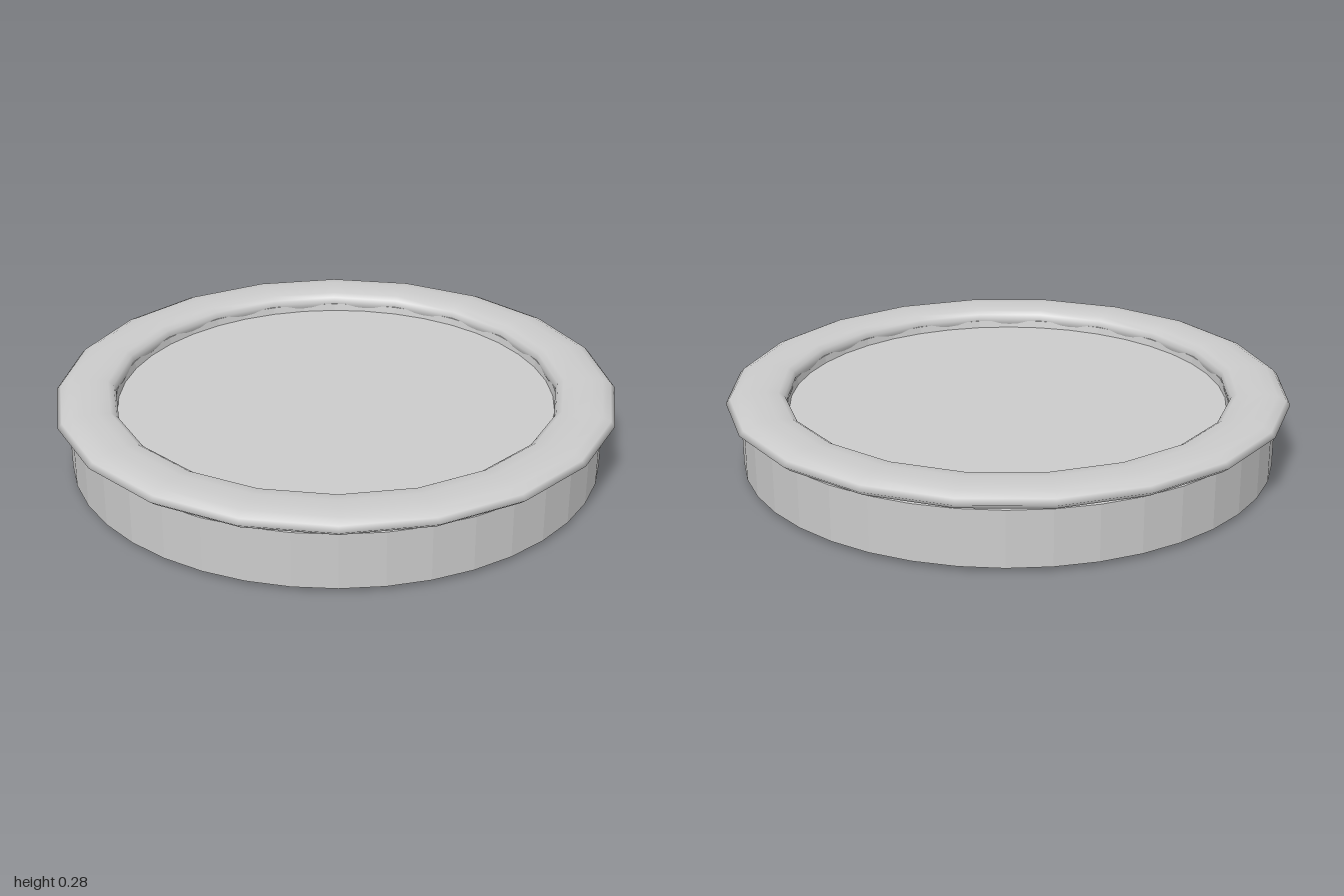
import * as THREE from 'three';

const material = (flat) => new THREE.MeshStandardMaterial({ color: 0xcccccc, flatShading: flat });

// Turned part from [radius, height] points; listed bottom to top on the outside.
function turned(name, points, sides, flat) {
  const profile = points.map(([r, y]) => new THREE.Vector2(r, y));
  const mesh = new THREE.Mesh(new THREE.LatheGeometry(profile, sides), material(flat));
  mesh.name = name;
  return mesh;
}

export function createModel() {
  const model = new THREE.Group();
  model.name = 'shallowRoundTray';

  // Base: faceted drum with a slightly domed underside and a flat floor on top
  model.add(turned('base', [
    [0, 0], [0.87, 0], [0.95, 0.014], [0.95, 0.212], [0, 0.212],
  ], 40, true));

  // Rim: coarser, softly rounded ring overhanging the base
  model.add(turned('rim', [
    [0.80, 0.212], [0.94, 0.212], [0.975, 0.225], [1.0, 0.245], [0.985, 0.262],
    [0.955, 0.276], [0.91, 0.28], [0.86, 0.28], [0.815, 0.275],
    [0.795, 0.262], [0.788, 0.245], [0.79, 0.228], [0.80, 0.212],
  ], 20, false));

  // Lip: thin wall between the floor and the inside of the rim
  model.add(turned('innerLip', [
    [0.80, 0.238], [0.785, 0.238], [0.78, 0.212],
  ], 40, true));

  return model;
}
